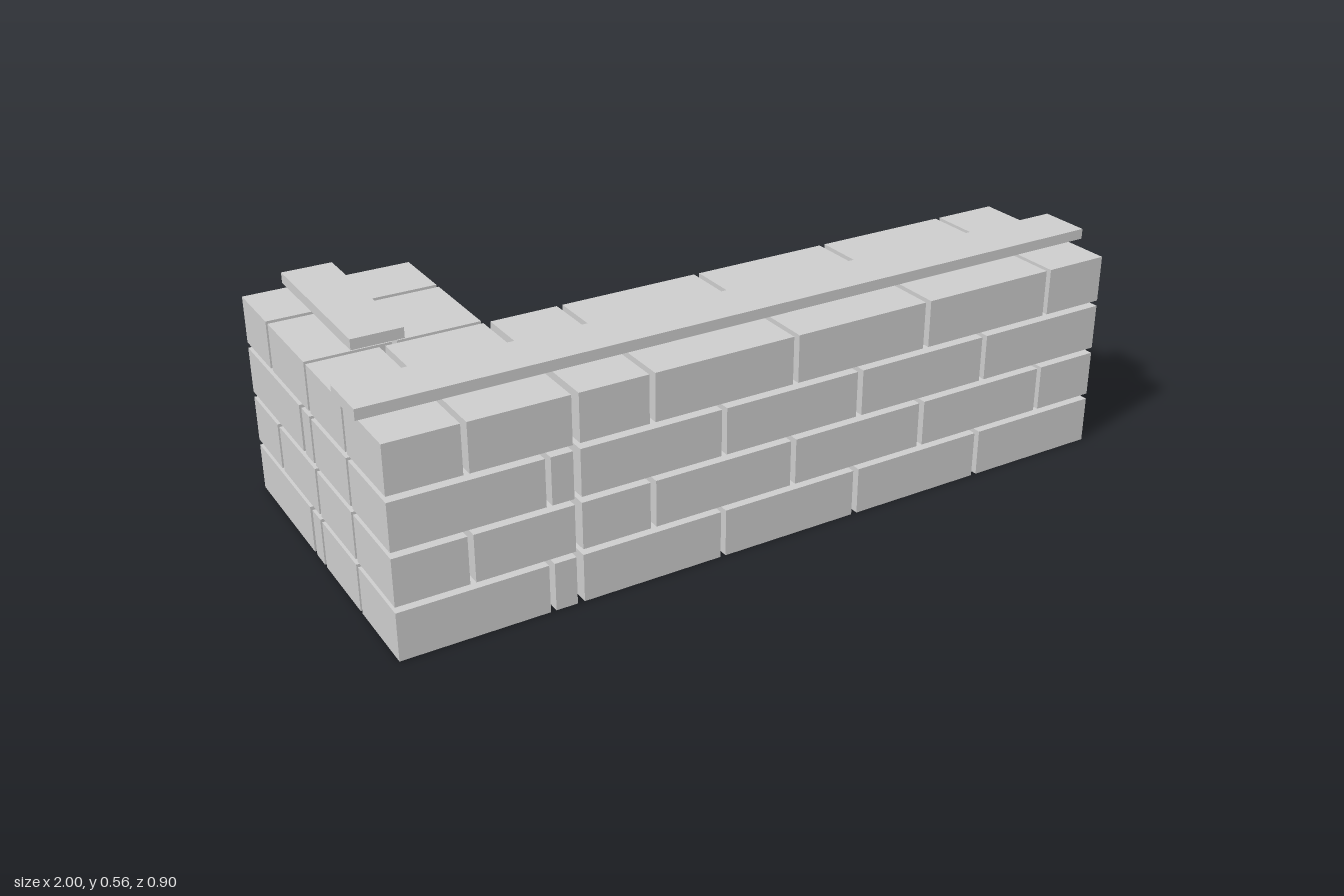
import * as THREE from 'three';

export function createModel() {
  const group = new THREE.Group();
  const stone = new THREE.MeshStandardMaterial({ color: 0xcccccc });
  stone.name = 'lightGreyStone';

  // Box given by its minimum and maximum on each axis
  const block = (name, parent, [x0, x1], [y0, y1], [z0, z1]) => {
    const mesh = new THREE.Mesh(new THREE.BoxGeometry(x1 - x0, y1 - y0, z1 - z0), stone);
    mesh.position.set((x0 + x1) / 2, (y0 + y1) / 2, (z0 + z1) / 2);
    mesh.name = name;
    parent.add(mesh);
  };

  // Brick spans along each wall, alternating by course
  const courses = [[0, 0.122], [0.137, 0.256], [0.271, 0.39], [0.405, 0.526]];
  const longSpans = [
    [[-0.988, -0.625], [-0.611, -0.557], [-0.539, -0.176], [-0.162, 0.206], [0.222, 0.588], [0.603, 0.97]],
    [[-0.988, -0.814], [-0.8, -0.557], [-0.539, -0.365], [-0.35, 0.018], [0.033, 0.4], [0.416, 0.783], [0.797, 0.97]],
  ];
  const shortSpans = [
    [[-0.435, -0.071], [-0.055, -0.003]],
    [[-0.435, -0.261], [-0.246, -0.003]],
  ];
  // Each wall is two bricks thick
  const longLeaves = [[0.01, 0.224], [0.236, 0.449]];
  const shortLeaves = [[-0.988, -0.779], [-0.766, -0.557]];

  courses.forEach((y, i) => {
    const course = new THREE.Group();
    course.name = 'brickCourse' + (i + 1);
    group.add(course);
    for (const x of longSpans[i % 2])
      for (const z of longLeaves) block('longWallBrick', course, x, y, z);
    for (const z of shortSpans[i % 2])
      for (const x of shortLeaves) block('shortWallBrick', course, x, y, z);
  });

  // Narrow coping strips floating just above the top course
  block('longCoping', group, [-1, 1], [0.534, 0.561], [0.207, 0.341]);
  block('shortCoping', group, [-0.882, -0.752], [0.534, 0.561], [-0.45, 0.01]);
  return group;
}
